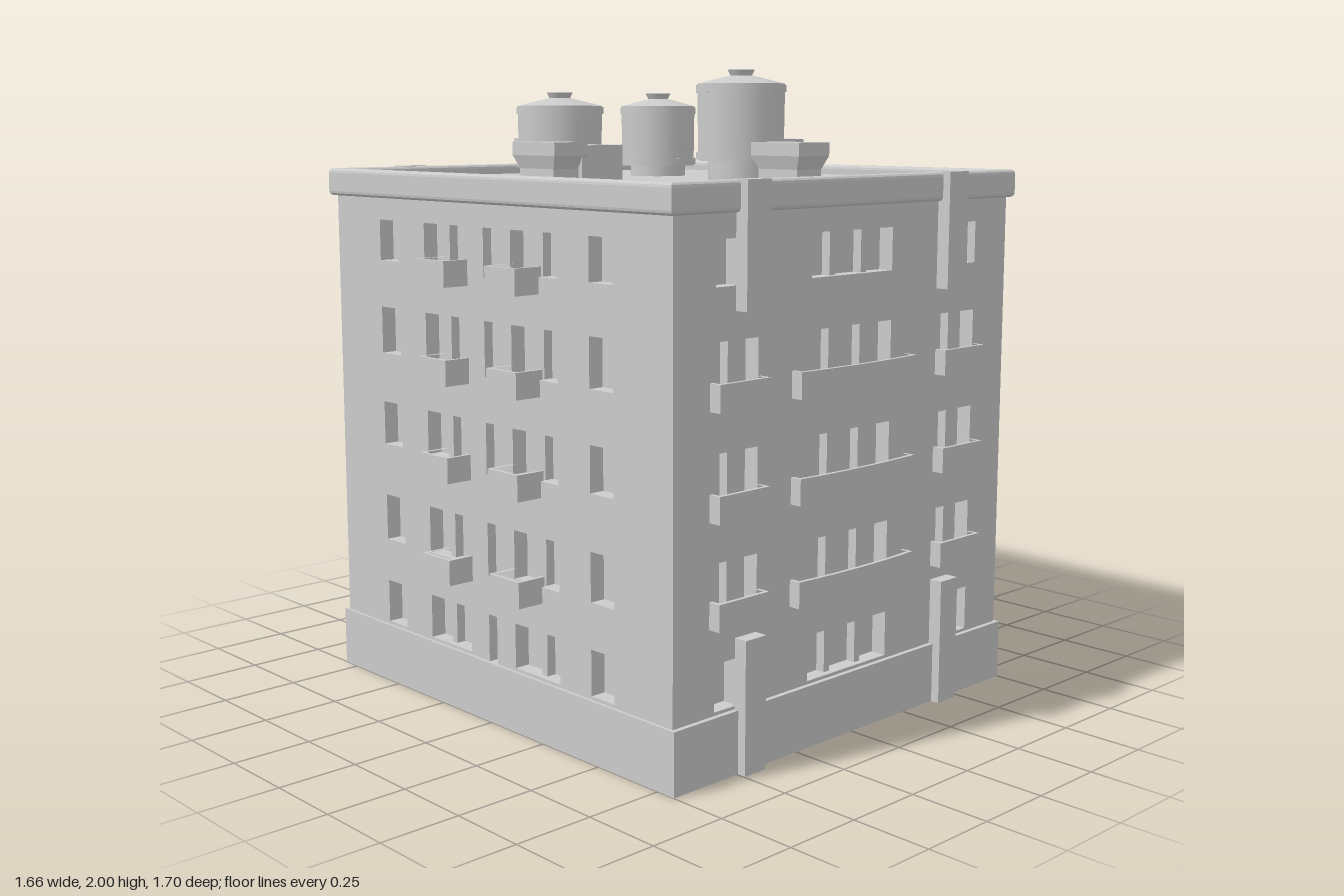
import * as THREE from 'three';

const grey = new THREE.MeshStandardMaterial({ color: 0xcccccc });
const twoSided = new THREE.MeshStandardMaterial({ color: 0xcccccc, side: THREE.DoubleSide });

// Floors: bottom and top of each window row
const ROWS = [[0.2, 0.34], [0.48, 0.63], [0.8, 0.94], [1.1, 1.25], [1.4, 1.53]];
const DEPTH = 0.06;

function add(parent, name, geometry, x = 0, y = 0, z = 0, material = grey) {
  const mesh = new THREE.Mesh(geometry, material);
  mesh.name = name;
  mesh.position.set(x, y, z);
  parent.add(mesh);
  return mesh;
}

// Box given by its extents
function block(parent, name, x0, x1, y0, y1, z0, z1) {
  return add(parent, name, new THREE.BoxGeometry(x1 - x0, y1 - y0, z1 - z0),
    (x0 + x1) / 2, (y0 + y1) / 2, (z0 + z1) / 2);
}

function rect(Type, x0, x1, y0, y1) {
  const p = new Type();
  p.moveTo(x0, y0).lineTo(x1, y0).lineTo(x1, y1).lineTo(x0, y1).closePath();
  return p;
}

// Wall with window holes and mullions; outer face at z = face
function wall(parent, name, half, face, windows) {
  const shape = rect(THREE.Shape, -half, half, 0.1, 1.64);
  for (const [x0, x1, y0, y1, mullions = []] of windows) {
    shape.holes.push(rect(THREE.Path, x0, x1, y0, y1));
    for (const m of mullions)
      block(parent, 'mullion', m - 0.012, m + 0.012, y0, y1, face - DEPTH, face - 0.02);
  }
  add(parent, name, new THREE.ExtrudeGeometry(shape, { depth: DEPTH, bevelEnabled: false }), 0, 0, face - DEPTH);
}

// Hollow balcony tray, optionally bowed outwards
function balcony(parent, x0, x1, y, h, z0, z1, bow = 0) {
  const outline = (Type, t) => {
    const p = new Type(), edge = z1 - bow - t;
    p.moveTo(x0 + t, -z0).lineTo(x1 - t, -z0).lineTo(x1 - t, -edge);
    p.quadraticCurveTo((x0 + x1) / 2, -(edge + 2 * bow), x0 + t, -edge);
    p.closePath();
    return p;
  };
  const rail = outline(THREE.Shape, 0);
  rail.holes.push(outline(THREE.Path, 0.012));
  const floor = outline(THREE.Shape, 0);
  for (const [name, shape, depth] of [['balconyRail', rail, h], ['balconyFloor', floor, 0.02]]) {
    const g = new THREE.ExtrudeGeometry(shape, { depth, bevelEnabled: false, curveSegments: 8 });
    g.rotateX(-Math.PI / 2);
    add(parent, name, g, 0, y, 0);
  }
}

// Long facade with three window bays, balconies and pilasters
function longFacade(name) {
  const g = new THREE.Group();
  g.name = name;
  const windows = [];
  ROWS.forEach(([y0, y1], i) => {
    const outer = i === 0 || i === 4;
    windows.push([-0.19, 0.17, y0, y1, [-0.08, 0.06]]);
    windows.push(outer ? [-0.58, -0.49, y0, y1] : [-0.59, -0.41, y0, y1, [-0.5]]);
    windows.push(outer ? [0.48, 0.58, y0, y1] : [0.4, 0.58, y0, y1, [0.49]]);
  });
  wall(g, 'longWall', 0.74, 0.8, windows);
  for (const y of [0.445, 0.75, 1.06]) {
    balcony(g, -0.27, 0.25, y, 0.08, 0.79, 0.85, 0.012);
    balcony(g, -0.6, -0.4, y, 0.08, 0.79, 0.84);
    balcony(g, 0.39, 0.59, y, 0.08, 0.79, 0.84);
  }
  for (const x of [-0.455, 0.435]) {
    block(g, 'upperPilaster', x - 0.047, x + 0.047, 1.33, 1.69, 0.79, 0.843);
    block(g, 'lowerPilaster', x - 0.042, x + 0.042, 0, 0.4, 0.79, 0.843);
  }
  return g;
}

// Short facade, drawn facing +z and then turned to the side
function sideFacade(name) {
  const g = new THREE.Group();
  g.name = name;
  const windows = [];
  ROWS.forEach(([y0, y1], i) => {
    for (const s of [-1, 1]) {
      const span = (a, b) => (s > 0 ? [a, b] : [-b, -a]);
      windows.push([...span(0.46, 0.56), y0, y1]);
      windows.push([...span(0.11, 0.32), y0, y1, [s * 0.225]]);
      if (i > 0) balcony(g, ...span(0.1, 0.24), y0 - 0.05, 0.08, 0.73, 0.828);
    }
    windows.push([-0.02, 0.02, y0 - 0.02, y1]);
  });
  wall(g, 'sideWall', 0.745, 0.74, windows);
  return g;
}

// Round water tank on a narrower stand, with a low conical lid and cap
function waterTank(x, z, r, bottom, top) {
  const g = new THREE.Group();
  g.name = 'waterTank';
  g.position.set(x, 0, z);
  const h = top - bottom;
  const stand = new THREE.CylinderGeometry(r * 0.72, r * 0.72, bottom - 1.6, 16);
  add(g, 'tankStand', stand, 0, (bottom + 1.6) / 2, 0);
  add(g, 'tankBody', new THREE.CylinderGeometry(r * 0.97, r * 0.95, h, 20), 0, bottom + h / 2, 0);
  for (const y of [bottom + 0.015, top - 0.015])
    add(g, 'tankHoop', new THREE.CylinderGeometry(r, r, 0.022, 20), 0, y, 0);
  add(g, 'tankLid', new THREE.CylinderGeometry(r * 0.25, r * 0.97, 0.025, 20), 0, top + 0.0125, 0);
  add(g, 'tankCap', new THREE.CylinderGeometry(0.042, 0.03, 0.025, 8), 0, top + 0.03, 0);
  return g;
}

// Roof vent whose shaft flares out below a flat top
function vent(parent, x, z, w, d) {
  const g = new THREE.BoxGeometry(w, 0.16, d, 1, 4, 1).toNonIndexed();
  const p = g.attributes.position;
  for (let i = 0; i < p.count; i++) {
    const s = p.getY(i) > 0.03 ? 1 : 0.8;
    p.setX(i, p.getX(i) * s);
    p.setZ(i, p.getZ(i) * s);
  }
  g.computeVertexNormals();
  add(parent, 'roofVent', g, x, 1.7, z);
}

export function createModel() {
  const model = new THREE.Group();
  model.name = 'apartmentBuilding';

  // Core behind the windows, plinth and roof deck
  block(model, 'core', -0.69, 0.69, 0.02, 1.645, -0.75, 0.75);
  block(model, 'plinth', -0.75, 0.75, 0, 0.19, -0.815, 0.815);
  block(model, 'roofDeck', -0.735, 0.735, 1.6, 1.655, -0.79, 0.79);

  // Facades
  const front = longFacade('frontFacade');
  const back = longFacade('backFacade');
  back.rotation.y = Math.PI;
  const left = sideFacade('leftFacade');
  left.rotation.y = Math.PI / 2;
  const right = sideFacade('rightFacade');
  right.rotation.y = -Math.PI / 2;
  model.add(front, back, left, right);

  // Rounded parapet around the roof
  const rim = rect(THREE.Shape, -0.75, 0.75, -0.805, 0.805);
  rim.holes.push(rect(THREE.Path, -0.73, 0.73, -0.775, 0.775));
  const parapet = new THREE.ExtrudeGeometry(rim, {
    depth: 0.06, bevelThickness: 0.014, bevelSize: 0.012, bevelSegments: 3,
  });
  parapet.rotateX(-Math.PI / 2);
  add(model, 'parapet', parapet, 0, 1.614, 0);

  // Water tanks
  model.add(
    waterTank(0.035, 0.295, 0.142, 1.72, 1.957),
    waterTank(-0.215, -0.285, 0.142, 1.69, 1.89),
    waterTank(0.21, -0.27, 0.13, 1.69, 1.89),
  );

  // Roof vents, one with an open duct beside it
  vent(model, -0.01, -0.605, 0.135, 0.195);
  vent(model, -0.005, 0.54, 0.135, 0.195);
  vent(model, 0.48, 0, 0.13, 0.2);
  vent(model, -0.495, 0, 0.13, 0.2);
  block(model, 'ductFront', -0.45, -0.285, 1.64, 1.77, 0.07, 0.097);
  block(model, 'ductSide', -0.315, -0.285, 1.64, 1.77, -0.065, 0.08);
  return model;
}
